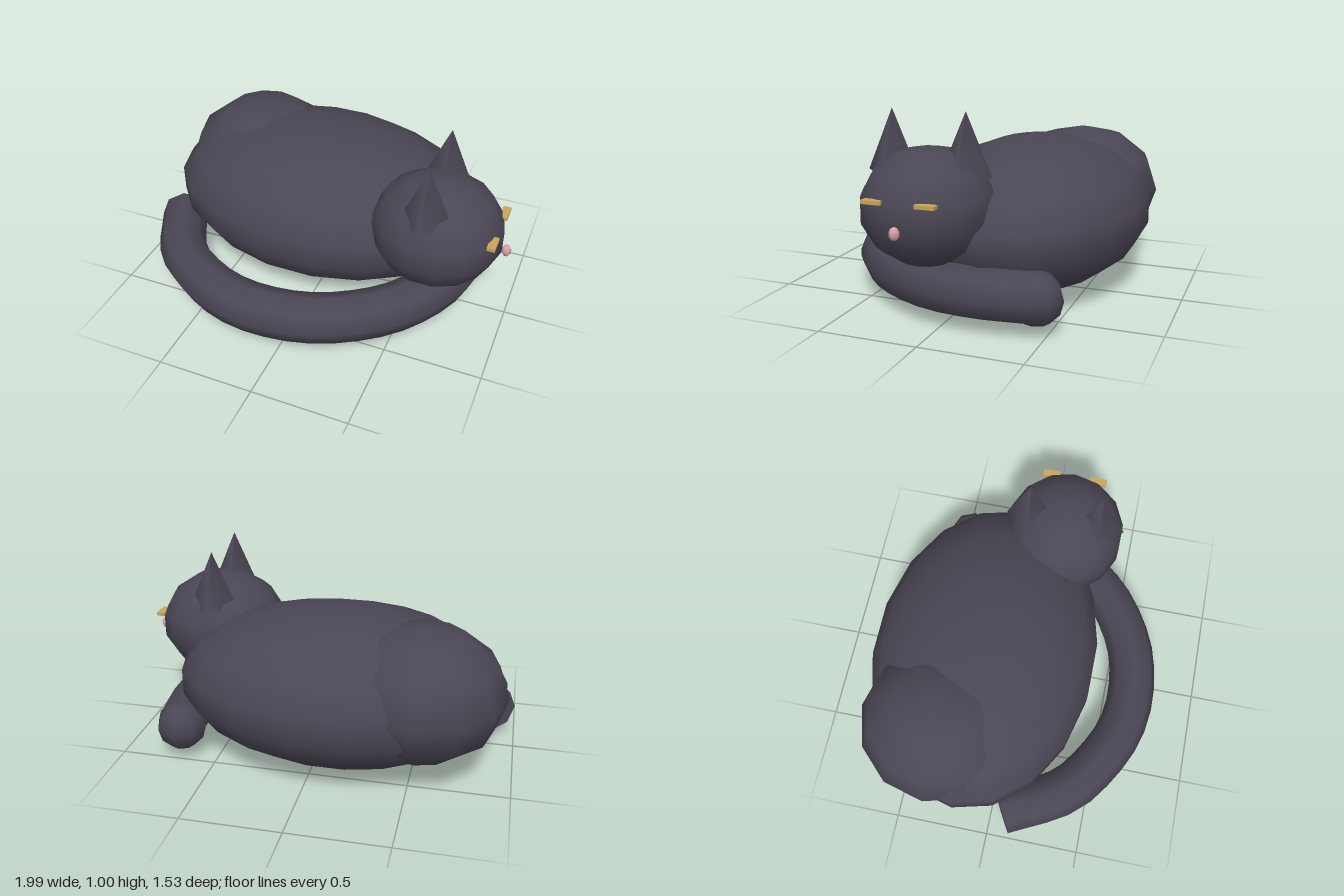
import * as THREE from 'three';

const mat = (name, color) => Object.assign(new THREE.MeshStandardMaterial({ color }), { name });

export function createModel() {
  const fur = mat('charcoalFur', 0x4a4654);
  const gold = mat('goldEye', 0xc9a55c);
  const pink = mat('pinkNose', 0xd9a3aa);
  const cat = new THREE.Group();
  cat.name = 'sleepingCat';

  const add = (name, geometry, material, x, y, z) => {
    const mesh = new THREE.Mesh(geometry, material);
    mesh.name = name;
    mesh.position.set(x, y, z);
    cat.add(mesh);
    return mesh;
  };
  const ellipsoid = (rx, ry, rz, w, h) => new THREE.SphereGeometry(1, w, h).scale(rx, ry, rz);

  // Curled body, haunch and head
  add('body', ellipsoid(0.853, 0.39, 0.602, 18, 9), fur, -0.1, 0.395, -0.185);
  add('haunch', ellipsoid(0.425, 0.34, 0.43, 12, 6), fur, -0.53, 0.445, -0.325);
  add('head', ellipsoid(0.34, 0.285, 0.325, 14, 7), fur, 0.622, 0.55, 0.107);

  // Ears and closed eyes, one on each side of the face
  for (const [side, s] of [['left', -1], ['right', 1]]) {
    add(side + 'Ear', new THREE.ConeGeometry(0.13, 0.3, 4), fur, 0.61, 0.85, 0.107 + s * 0.187);
    add(side + 'Eye', new THREE.BoxGeometry(0.04, 0.018, 0.095), gold, 0.926, 0.624, 0.107 + s * 0.13);
  }
  add('nose', ellipsoid(0.025, 0.032, 0.025, 6, 5), pink, 0.975, 0.503, 0.107);

  // Tail wrapped around the front, with a flat root and a round tip
  const tailY = 0.182, tailR = 0.127;
  const path = new THREE.CatmullRomCurve3([
    [-0.883, 0.06], [-0.71, 0.375], [-0.54, 0.51], [-0.33, 0.61], [-0.11, 0.638],
    [0.16, 0.59], [0.42, 0.44], [0.56, 0.29], [0.68, 0.06], [0.714, -0.19], [0.685, -0.45],
  ].map(([x, z]) => new THREE.Vector3(x, tailY, z)));
  add('tail', new THREE.TubeGeometry(path, 24, tailR, 8), fur, 0, 0, 0);
  const root = path.getPointAt(0);
  const cap = add('tailRoot', new THREE.CircleGeometry(tailR, 8), fur, root.x, root.y, root.z);
  cap.lookAt(root.clone().sub(path.getTangentAt(0)));
  add('tailTip', new THREE.SphereGeometry(0.129, 8, 6), fur, 0.685, tailY, -0.45);

  return cat;
}
